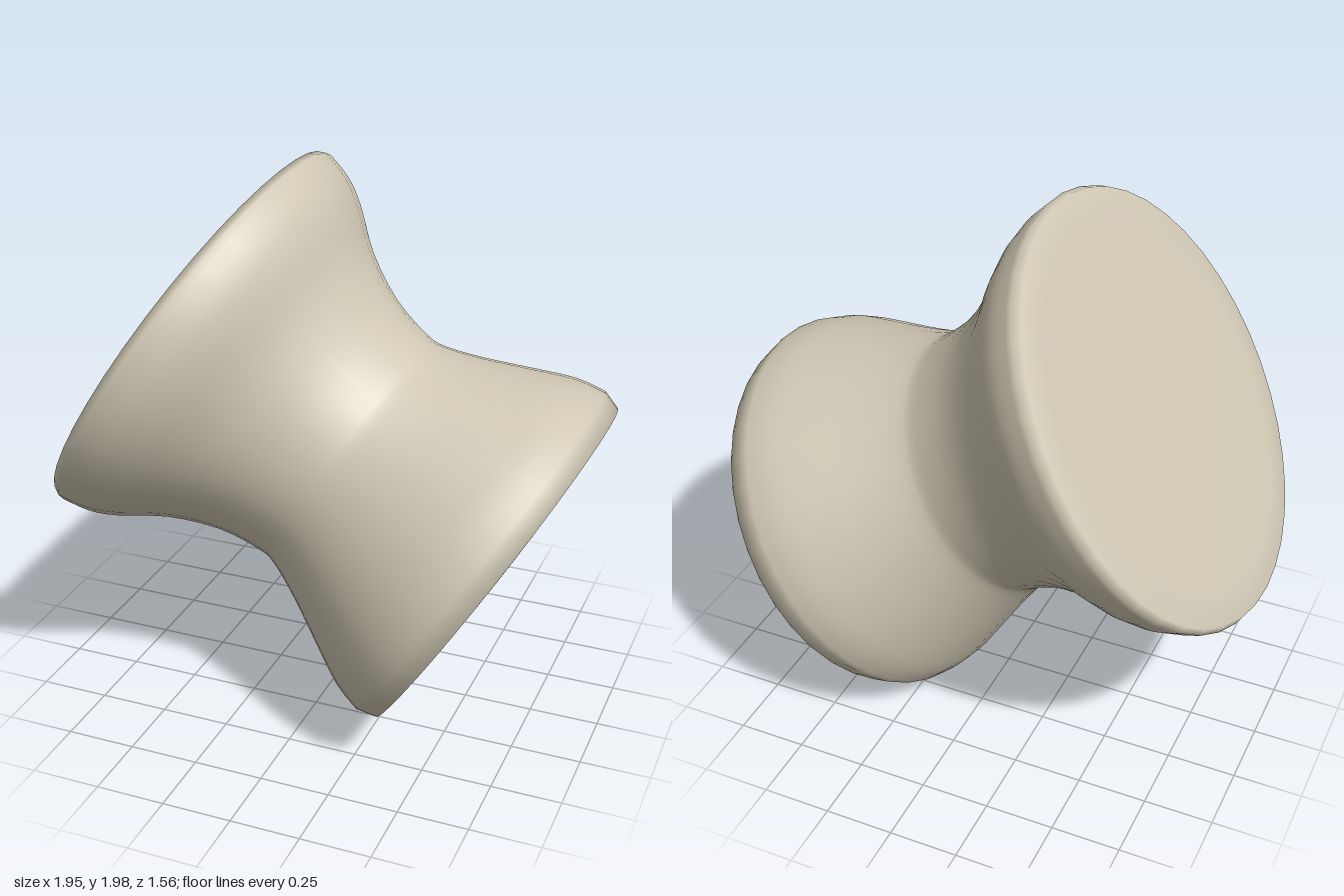
import * as THREE from 'three';

export function createModel() {
  const model = new THREE.Group();
  model.name = 'tiltedSpool';

  const ivory = new THREE.MeshStandardMaterial({ color: 0xd0c8b4 });
  ivory.name = 'warm ivory';

  // waisted side, from the wide end to the narrow end (radius, height)
  const side = new THREE.SplineCurve([
    [0.782, -0.665], [0.757, -0.565], [0.705, -0.47], [0.6, -0.33], [0.52, -0.16],
    [0.488, 0.0], [0.496, 0.08], [0.55, 0.215], [0.62, 0.36], [0.69, 0.51], [0.716, 0.62],
  ].map(([r, h]) => new THREE.Vector2(r, h))).getPoints(30);

  // flat ends with softly rounded rims
  const profile = [
    new THREE.Vector2(0, -0.697), new THREE.Vector2(0.66, -0.697), new THREE.Vector2(0.768, -0.694),
    ...side,
    new THREE.Vector2(0.695, 0.69), new THREE.Vector2(0.6, 0.697), new THREE.Vector2(0, 0.697),
  ];

  const spool = new THREE.Mesh(new THREE.LatheGeometry(profile, 40), ivory);
  spool.name = 'spool';
  // lean the axis so the wide end faces up and to the right
  spool.rotation.z = -2.135;
  spool.position.set(0.01, 0.969, 0);
  model.add(spool);

  return model;
}
